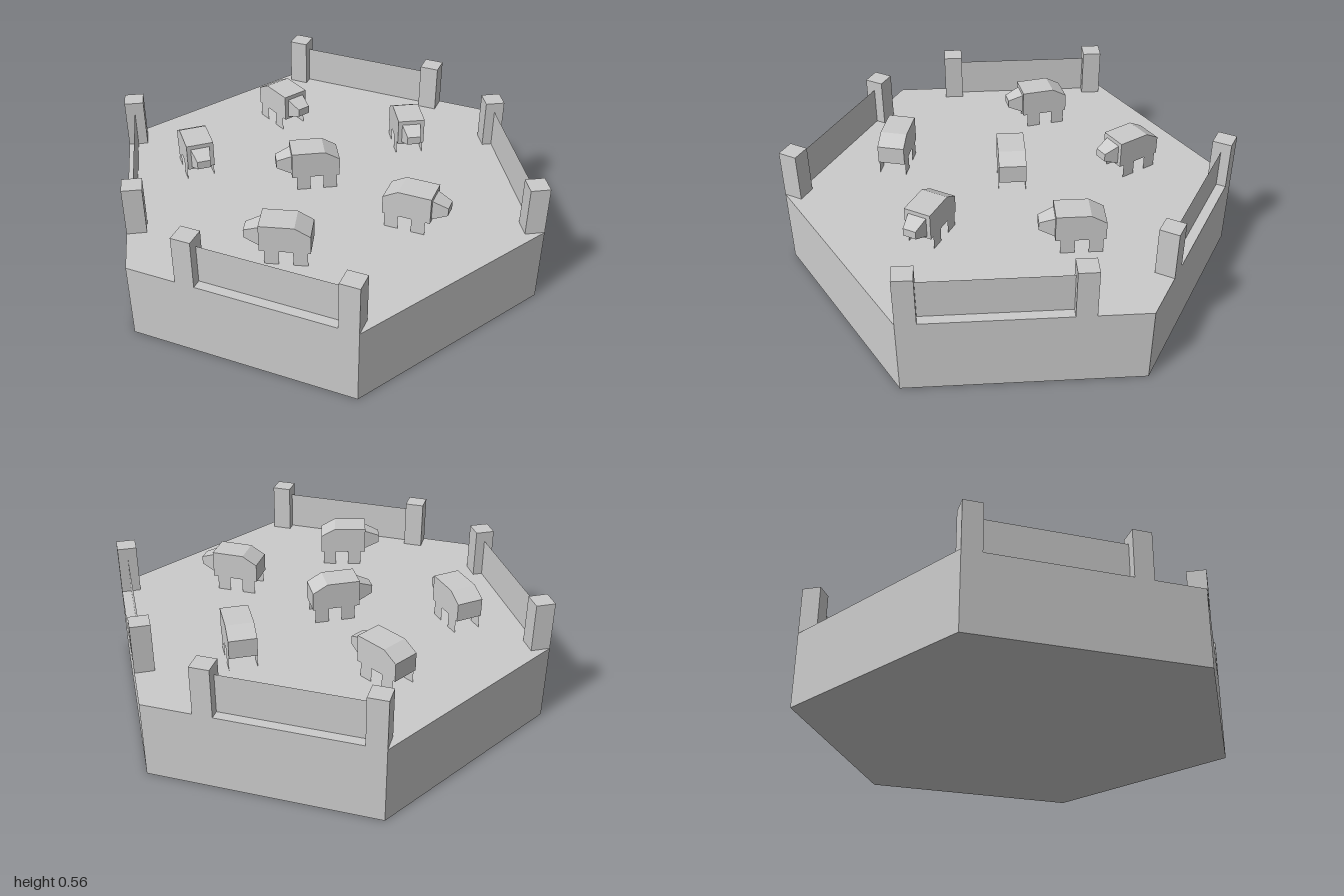
import * as THREE from 'three';

const FLOOR = 0.346;
const mat = new THREE.MeshStandardMaterial({ color: 0xcccccc, flatShading: true });
const thinMat = new THREE.MeshStandardMaterial({ color: 0xcccccc, flatShading: true, side: THREE.DoubleSide });

function add(parent, name, geometry, material = mat) {
  const mesh = new THREE.Mesh(geometry, material);
  mesh.name = name;
  parent.add(mesh);
  return mesh;
}

// One fence: starts at a hexagon corner and runs along its edge (local x along, local z inward)
function createFence(start, end, flip) {
  const fence = new THREE.Group();
  fence.name = 'fence';
  const size = 0.085, second = 0.692, postH = 0.565 - FLOOR, panelH = 0.52 - FLOOR;
  const inward = flip * size / 2;
  for (const x of [size / 2, second + size / 2]) {
    add(fence, 'fencePost', new THREE.BoxGeometry(size, postH, size)).position.set(x, postH / 2, inward);
  }
  add(fence, 'fencePanel', new THREE.PlaneGeometry(second - size, panelH), thinMat)
    .position.set((second + size) / 2, panelH / 2, inward);
  fence.position.set(start[0], FLOOR, start[1]);
  fence.rotation.y = Math.atan2(-(end[1] - start[1]), end[0] - start[0]);
  return fence;
}

// One grazing animal facing local +z, standing on y = 0
function createAnimal() {
  const animal = new THREE.Group();
  animal.name = 'grazingAnimal';
  const half = 0.06, len = 0.21, belly = 0.064, back = 0.184;

  // Body: side profile with a sloping rump
  const side = new THREE.Shape([
    [-len / 2, belly], [len / 2, belly], [len / 2, back], [-len / 2 + 0.065, back], [-len / 2, 0.146],
  ].map(([z, y]) => new THREE.Vector2(z, y)));
  const body = new THREE.ExtrudeGeometry(side, { depth: half * 2, bevelEnabled: false });
  body.translate(0, 0, -half).rotateY(-Math.PI / 2);
  add(animal, 'body', body);

  // Head: box narrowed towards the muzzle
  const head = new THREE.BoxGeometry(0.084, 0.09, 0.066);
  const p = head.attributes.position;
  for (let i = 0; i < p.count; i++) {
    if (p.getZ(i) > 0) p.setXY(i, p.getX(i) * 0.7, p.getY(i) * 0.4);
  }
  head.computeVertexNormals();
  add(animal, 'head', head).position.set(0, 0.12, len / 2 + 0.033);

  // Thin legs flush with the flanks
  for (const x of [-half, half]) {
    for (const z of [-0.064, 0.054]) {
      const leg = new THREE.PlaneGeometry(0.06, belly).rotateY(Math.PI / 2);
      add(animal, 'leg', leg, thinMat).position.set(x, belly / 2, z);
    }
  }
  return animal;
}

export function createModel() {
  const model = new THREE.Group();
  model.name = 'hexagonalPasture';

  // Hexagonal ground block
  add(model, 'groundBlock', new THREE.CylinderGeometry(1, 1, FLOOR, 6)).position.y = FLOOR / 2;

  // Fences on four edges, in opposite pairs
  const w = Math.sqrt(3) / 2;
  for (const s of [1, -1]) {
    model.add(createFence([s * w, s * 0.5], [s * w, -s * 0.5], -1));
    model.add(createFence([0, -s], [s * w, -s * 0.5], 1));
  }

  // Herd: x, z, heading x, heading z
  const herd = [
    [-0.04, -0.005, -1, 0],
    [0.425, -0.255, 0, 1],
    [0.32, 0.355, 0.87, 0.5],
    [-0.217, 0.505, -0.97, -0.24],
    [-0.556, -0.185, 0.19, 0.98],
    [-0.124, -0.553, 0.5, 0.87],
  ];
  for (const [x, z, hx, hz] of herd) {
    const animal = createAnimal();
    animal.position.set(x, FLOOR, z);
    animal.rotation.y = Math.atan2(hx, hz);
    model.add(animal);
  }
  return model;
}
